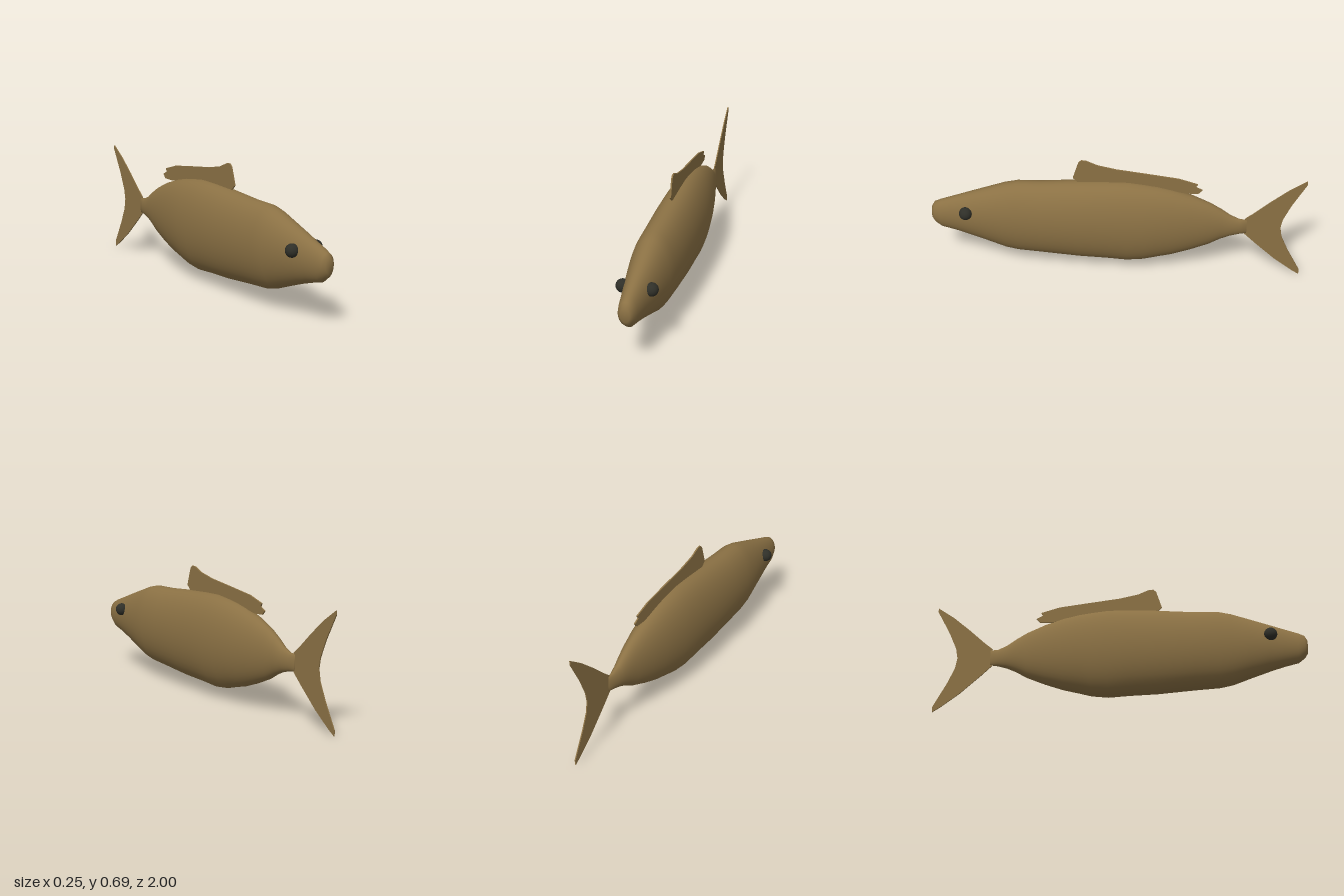
import * as THREE from 'three';

const skin = new THREE.MeshStandardMaterial({ color: 0x8b7144 });
skin.name = 'brown skin';
const eyeBlack = new THREE.MeshStandardMaterial({ color: 0x2f2f28 });
eyeBlack.name = 'dark eye';

// Body cross-sections from nose to tail: z, top y, bottom y, half width
const SECTIONS = [
  [1.0, 0.315, 0.315, 0], [1.0, 0.35, 0.275, 0.024], [0.985, 0.376, 0.25, 0.04],
  [0.95, 0.392, 0.222, 0.049], [0.87, 0.42, 0.202, 0.062], [0.8, 0.445, 0.18, 0.075],
  [0.7, 0.48, 0.145, 0.092], [0.6, 0.515, 0.108, 0.108], [0.53, 0.531, 0.094, 0.114],
  [0.4, 0.534, 0.086, 0.12], [0.2, 0.55, 0.07, 0.124], [0.05, 0.558, 0.065, 0.123],
  [-0.06, 0.56, 0.058, 0.121], [-0.15, 0.55, 0.068, 0.115], [-0.22, 0.54, 0.087, 0.108],
  [-0.3, 0.522, 0.107, 0.097], [-0.4, 0.49, 0.142, 0.079], [-0.5, 0.446, 0.184, 0.057],
  [-0.56, 0.41, 0.22, 0.043], [-0.61, 0.374, 0.242, 0.032], [-0.66, 0.352, 0.256, 0.02],
  [-0.7, 0.35, 0.262, 0.009], [-0.7, 0.306, 0.306, 0],
];

// Smooth loft of elliptical rings
function loft(sections, sides) {
  const positions = [], index = [];
  sections.forEach(([z, top, bottom, w], i) => {
    for (let j = 0; j < sides; j++) {
      const t = (j / sides) * Math.PI * 2;
      positions.push(w * Math.sin(t), (top + bottom) / 2 + ((top - bottom) / 2) * Math.cos(t), z);
      if (i === sections.length - 1) continue;
      const a = i * sides + j, b = i * sides + ((j + 1) % sides);
      index.push(a, b, a + sides, b, b + sides, a + sides);
    }
  });
  const geometry = new THREE.BufferGeometry();
  geometry.setAttribute('position', new THREE.Float32BufferAttribute(positions, 3));
  geometry.setIndex(index);
  geometry.computeVertexNormals();
  return geometry;
}

// Thin upright fin from an outline of (z, y) points
function fin(name, outline, thickness) {
  const shape = new THREE.Shape(outline.map(([z, y]) => new THREE.Vector2(z, y)));
  const geometry = new THREE.ExtrudeGeometry(shape, { depth: thickness, bevelEnabled: false });
  geometry.translate(0, 0, -thickness / 2);
  geometry.rotateY(-Math.PI / 2);
  const mesh = new THREE.Mesh(geometry, skin);
  mesh.name = name;
  return mesh;
}

export function createModel() {
  const fish = new THREE.Group();
  fish.name = 'fish';

  const body = new THREE.Mesh(loft(SECTIONS, 40), skin);
  body.name = 'body';
  fish.add(body);

  // Long back fin, its rear end hanging just clear of the body
  fish.add(fin('dorsalFin', [
    [0.23, 0.575], [0.2, 0.67], [0.185, 0.685], [0.16, 0.684], [0.1, 0.658], [0, 0.637],
    [-0.2, 0.612], [-0.33, 0.595], [-0.43, 0.565], [-0.42, 0.548], [-0.455, 0.53],
    [-0.435, 0.508], [-0.37, 0.506], [-0.2, 0.535], [0, 0.548], [0.2, 0.545],
  ], 0.008));

  // Forked tail
  fish.add(fin('tailFin', [
    [-0.69, 0.357], [-0.73, 0.39], [-0.82, 0.474], [-0.91, 0.552], [-1, 0.615], [-1, 0.592],
    [-0.93, 0.46], [-0.89, 0.365], [-0.88, 0.31], [-0.89, 0.25], [-0.93, 0.16], [-1, 0.03],
    [-1, 0], [-0.96, 0.025], [-0.86, 0.1], [-0.75, 0.2], [-0.69, 0.258],
  ], 0.006));

  // Eyes
  for (const side of [1, -1]) {
    const eye = new THREE.Mesh(new THREE.SphereGeometry(0.035, 24, 16), eyeBlack);
    eye.name = side > 0 ? 'leftEye' : 'rightEye';
    eye.position.set(side * 0.073, 0.36, 0.805);
    fish.add(eye);
  }
  return fish;
}
